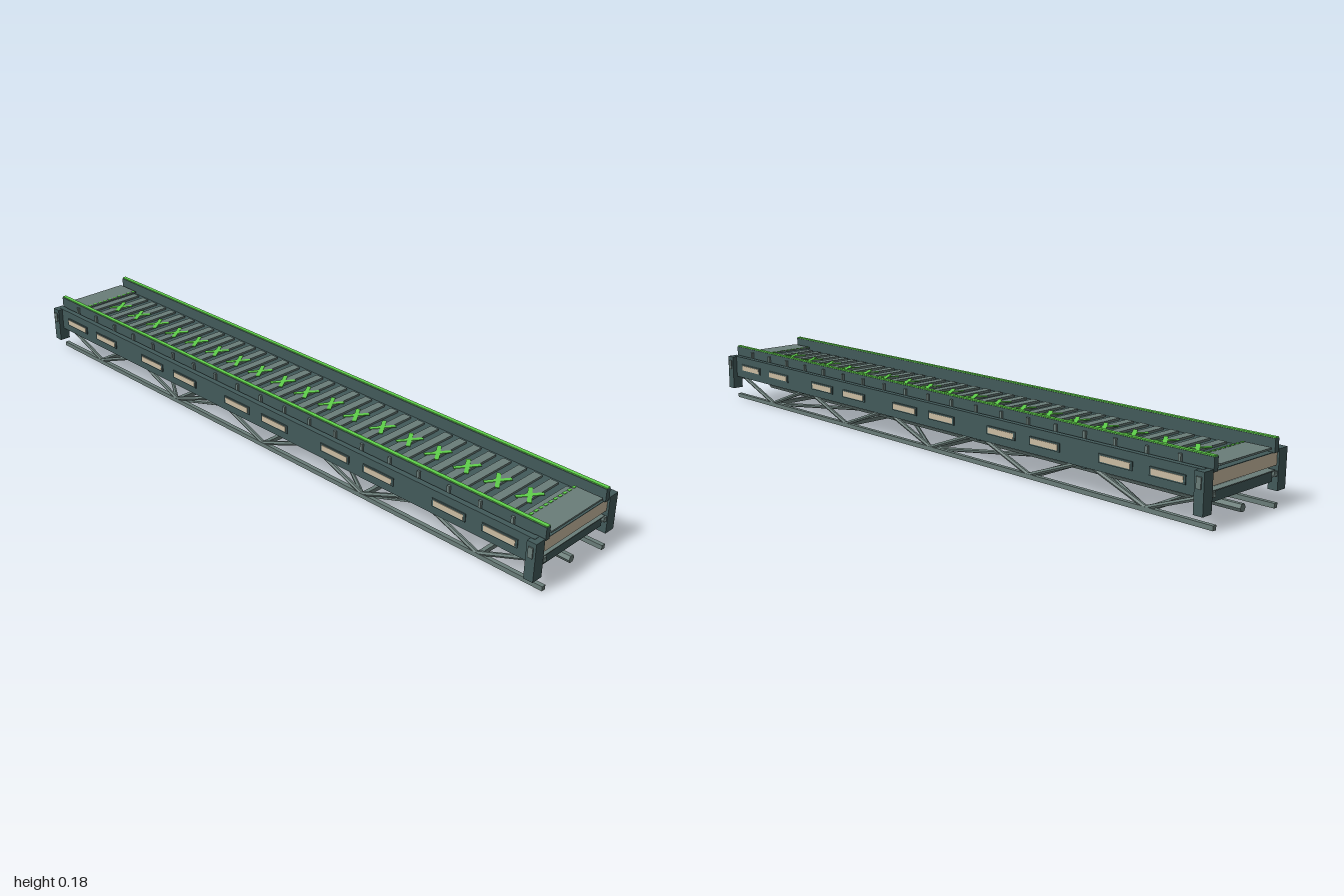
import * as THREE from 'three';

const material = (name, color) => {
  const m = new THREE.MeshStandardMaterial({ color });
  m.name = name;
  m.flatShading = true;
  return m;
};

export function createModel() {
  const model = new THREE.Group();
  model.name = 'footbridge';
  const teal = material('dark teal', 0x425a5a);
  const steel = material('grey steel', 0x6a7d79);
  const beige = material('beige', 0xcbbda3);
  const green = material('bright green', 0x5fd04a);

  // Box given by its size and centre
  const box = (name, mat, w, h, d, x, y, z, parent = model) => {
    const mesh = new THREE.Mesh(new THREE.BoxGeometry(w, h, d), mat);
    mesh.name = name;
    mesh.position.set(x, y, z);
    parent.add(mesh);
    return mesh;
  };
  // Six-sided tube between two points
  const tube = (name, r, a, b, mat = steel) => {
    const from = new THREE.Vector3(...a), to = new THREE.Vector3(...b);
    const dir = to.clone().sub(from);
    const mesh = new THREE.Mesh(new THREE.CylinderGeometry(r, r, dir.length(), 6), mat);
    mesh.name = name;
    mesh.position.copy(from).add(to).multiplyScalar(0.5);
    mesh.quaternion.setFromUnitVectors(new THREE.Vector3(0, 1, 0), dir.normalize());
    model.add(mesh);
  };

  // Deck slab and its dark walking surface
  box('deckSlab', beige, 1.98, 0.034, 0.28, 0, 0.126, 0);
  box('deckSurface', teal, 1.98, 0.002, 0.28, 0, 0.144, 0);

  // Tread slats
  for (let i = 0; i < 37; i++) {
    box('treadSlat', steel, 0.026, 0.006, 0.21, -0.9 + i * 0.05, 0.148, 0);
  }

  // Crossed green markings along the middle
  for (let i = 0; i < 18; i++) {
    const mark = new THREE.Group();
    mark.name = 'deckMarking';
    mark.position.set(-0.85 + i * 0.1, 0.1515, 0);
    for (const s of [-1, 1]) {
      box('markingBar', green, 0.012, 0.002, 0.076, 0, 0, 0, mark).rotation.y = s * 0.6;
    }
    model.add(mark);
  }

  // End landing plates with a dotted green edge
  for (const s of [-1, 1]) {
    box('landingPlate', steel, 0.085, 0.005, 0.216, s * 0.95, 0.157, 0);
    for (let i = 0; i < 11; i++) {
      box('landingDot', green, 0.008, 0.002, 0.011, s * 0.912, 0.16, -0.1 + i * 0.02);
    }
  }

  for (const s of [-1, 1]) {
    // Kerb with green cap and brackets
    box('kerb', teal, 1.99, 0.037, 0.016, 0, 0.1625, s * 0.126);
    box('kerbCap', green, 1.99, 0.003, 0.012, 0, 0.1825, s * 0.126);
    for (let i = 0; i < 19; i++) {
      box('kerbBracket', steel, 0.008, 0.027, 0.008, -0.9 + i * 0.1, 0.1585, s * 0.137);
    }

    // Side girder with beige inset plates
    box('sideGirder', teal, 1.96, 0.07, 0.017, 0, 0.118, s * 0.1485);
    for (let i = 0; i < 5; i++) {
      for (const t of [-1, 1]) {
        const x = -0.8 + i * 0.4 + t * 0.08;
        box('insetFrame', teal, 0.108, 0.024, 0.003, x, 0.118, s * 0.1585);
        box('insetPlate', beige, 0.096, 0.016, 0.002, x, 0.118, s * 0.1605);
      }
    }

    // Corner posts
    for (const e of [-1, 1]) {
      box('cornerPost', teal, 0.028, 0.109, 0.035, e * 0.982, 0.0975, s * 0.1545);
      box('postPlate', steel, 0.014, 0.03, 0.004, e * 0.982, 0.124, s * 0.1735);
    }

    // Truss chords and zigzag
    const z = s * 0.128;
    box('topChord', steel, 1.99, 0.012, 0.012, 0, 0.09, z);
    box('bottomChord', steel, 2, 0.013, 0.013, 0, 0.0085, z);
    for (let i = 0; i < 10; i++) {
      const x = -1 + i * 0.2;
      const [y0, y1] = i % 2 ? [0.012, 0.088] : [0.088, 0.012];
      tube('trussDiagonal', 0.0065, [x * 0.995, y0, z], [(x + 0.2) * 0.995, y1, z]);
    }
  }

  // Cross beams below the deck
  for (let i = 0; i < 6; i++) {
    const x = (-1 + i * 0.4) * 0.98;
    box('crossBeam', teal, 0.014, 0.028, 0.25, x, 0.082, 0);
    box('crossBeamFlange', steel, 0.022, 0.003, 0.262, x, 0.0965, 0);
  }

  // Lower cross tubes and lateral bracing
  for (let i = 0; i < 5; i++) {
    const x = -0.8 + i * 0.4;
    box('lowerCrossTube', steel, 0.012, 0.012, 0.268, x, 0.008, 0);
    if (i < 4) {
      const s = i % 2 ? -1 : 1;
      tube('lateralBrace', 0.006, [x, 0.009, -s * 0.128], [x + 0.4, 0.009, s * 0.128]);
    }
  }

  // Central service pipe
  tube('servicePipe', 0.0115, [-0.99, 0.028, 0], [0.99, 0.028, 0]);

  model.position.y = -0.002;
  const root = new THREE.Group();
  root.name = 'bridge';
  root.add(model);
  return root;
}
